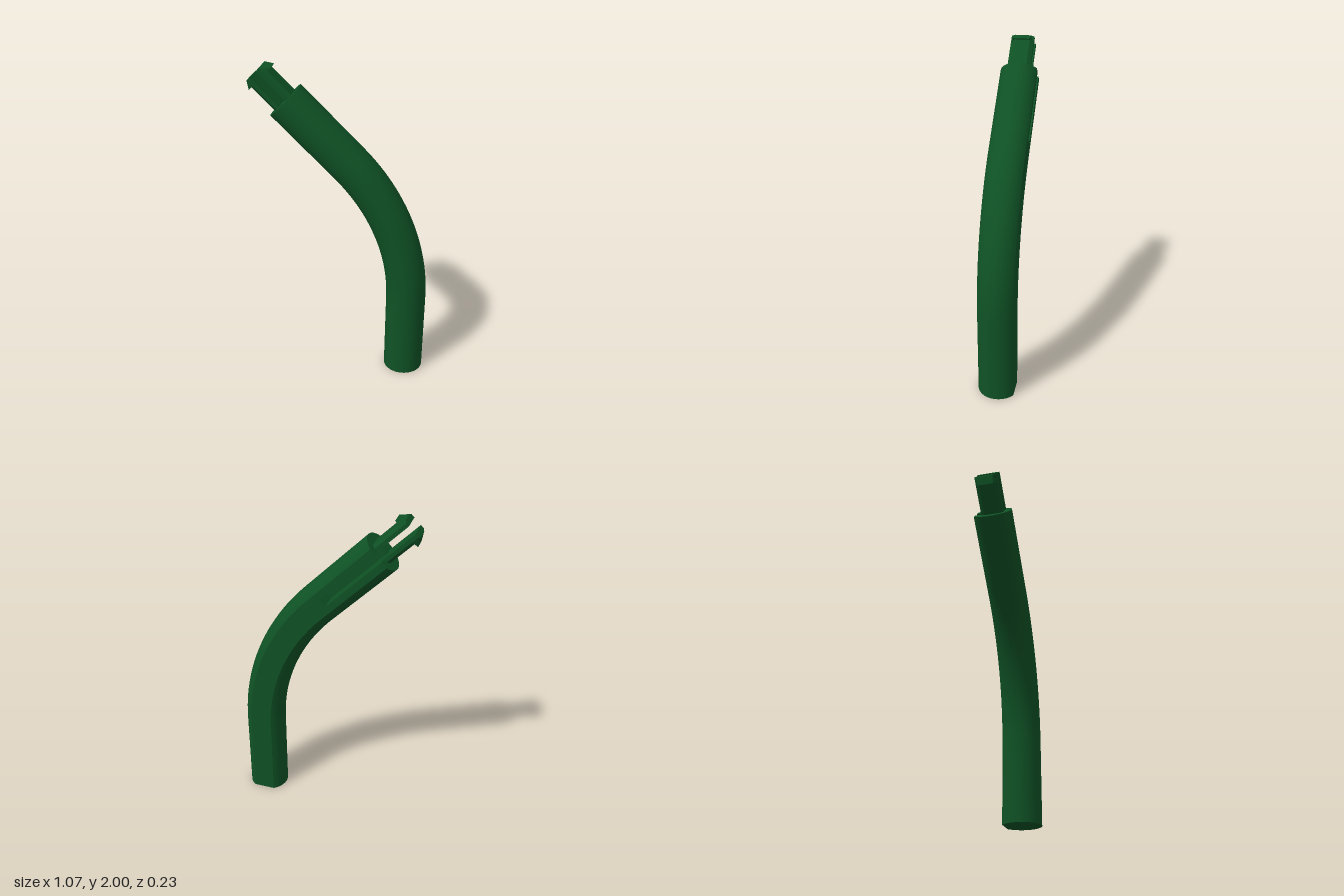
import * as THREE from 'three';
import { toCreasedNormals } from 'three/addons/utils/BufferGeometryUtils.js';

const R = 0.125, ZC = -0.01, BACK = -0.115;   // tube radius, axis depth, flat back
const BEND = 1.263, Y0 = 0.53, X0 = 0.41;     // bend radius, bend start
const STRAIGHT = 0.523, GROOVE = 0.45, SLOT = 0.025, FLOOR = 0;
const TILT = Math.PI / 4;

// Round section with a flat back, counter-clockwise in (across, z); optional slot in the flat.
function tubeSection(slotted) {
  const half = Math.acos((ZC - BACK) / R);
  const pts = [];
  const n = 40;
  for (let i = 0; i <= n; i++) {
    const a = -Math.PI / 2 + half + (i / n) * (2 * Math.PI - 2 * half);
    pts.push([R * Math.cos(a), ZC + R * Math.sin(a)]);
  }
  if (slotted) pts.push([-SLOT, BACK], [-SLOT, FLOOR], [SLOT, FLOOR], [SLOT, BACK]);
  return pts;
}

// Station on the centre line: position and tilt of the section.
function onBend(a) {
  return { x: X0 - BEND * (1 - Math.cos(a)), y: Y0 + BEND * Math.sin(a), a };
}
const bendEnd = onBend(TILT);
function onArm(d) {                            // d is measured from the tube's end face
  const s = (STRAIGHT + d) * Math.SQRT1_2;
  return { x: bendEnd.x - s, y: bendEnd.y + s, a: TILT };
}

// Skin a row of sections and close both ends.
function loft(rows) {
  const rings = rows.map(({ at, section }) => section.map(([n, z]) =>
    [at.x + n * Math.cos(at.a), at.y + n * Math.sin(at.a), z]));
  const pos = [];
  const tri = (...corners) => corners.forEach((c) => pos.push(...c));
  const count = rings[0].length;
  for (let r = 0; r < rings.length - 1; r++) {
    const p = rings[r], q = rings[r + 1];
    for (let i = 0; i < count; i++) {
      const j = (i + 1) % count;
      tri(p[i], q[i], q[j]);
      tri(p[i], q[j], p[j]);
    }
  }
  const cap = (k, flip) => {
    const flat = rows[k].section.map(([n, z]) => new THREE.Vector2(n, z));
    for (const [a, b, c] of THREE.ShapeUtils.triangulateShape(flat, [])) {
      const g = rings[k];
      if (flip) tri(g[a], g[c], g[b]);
      else tri(g[a], g[b], g[c]);
    }
  };
  cap(0, false);
  cap(rows.length - 1, true);
  const geo = new THREE.BufferGeometry();
  geo.setAttribute('position', new THREE.Float32BufferAttribute(pos, 3));
  return toCreasedNormals(geo, 0.45);
}

// Half of the split peg, with chamfered outer corners.
function prongSection(outer, side) {
  const pts = [[0.027, -0.07], [0.05, -0.07], [outer, -0.047],
    [outer, 0.047], [0.05, 0.07], [0.027, 0.07]];
  return side > 0 ? pts : pts.map(([n, z]) => [-n, z]).reverse();
}

export function createModel() {
  const group = new THREE.Group();
  const green = new THREE.MeshStandardMaterial({ color: 0x0f5225 });
  green.name = 'dark green';
  const add = (name, geo) => {
    const mesh = new THREE.Mesh(geo, green);
    mesh.name = name;
    group.add(mesh);
  };

  // Upright, bend and the solid start of the arm
  const solid = tubeSection(false);
  const path = [{ x: X0, y: 0, a: 0 }];
  for (let i = 0; i <= 24; i++) path.push(onBend((TILT * i) / 24));
  path.push(onArm(-GROOVE));
  add('bentTube', loft(path.map((at) => ({ at, section: solid }))));

  // Arm end with a long slot in its flat back
  const slotted = tubeSection(true);
  add('slottedTubeEnd', loft([-GROOVE, 0].map((d) => ({ at: onArm(d), section: slotted }))));

  // Two barbed prongs of the clip
  const profile = [[-0.01, 0.069], [0.195, 0.069], [0.186, 0.093], [0.232, 0.061]];
  for (const side of [1, -1]) {
    add(side > 0 ? 'upperProng' : 'lowerProng', loft(profile.map(([d, outer]) =>
      ({ at: onArm(d), section: prongSection(outer, side) }))));
  }
  return group;
}
